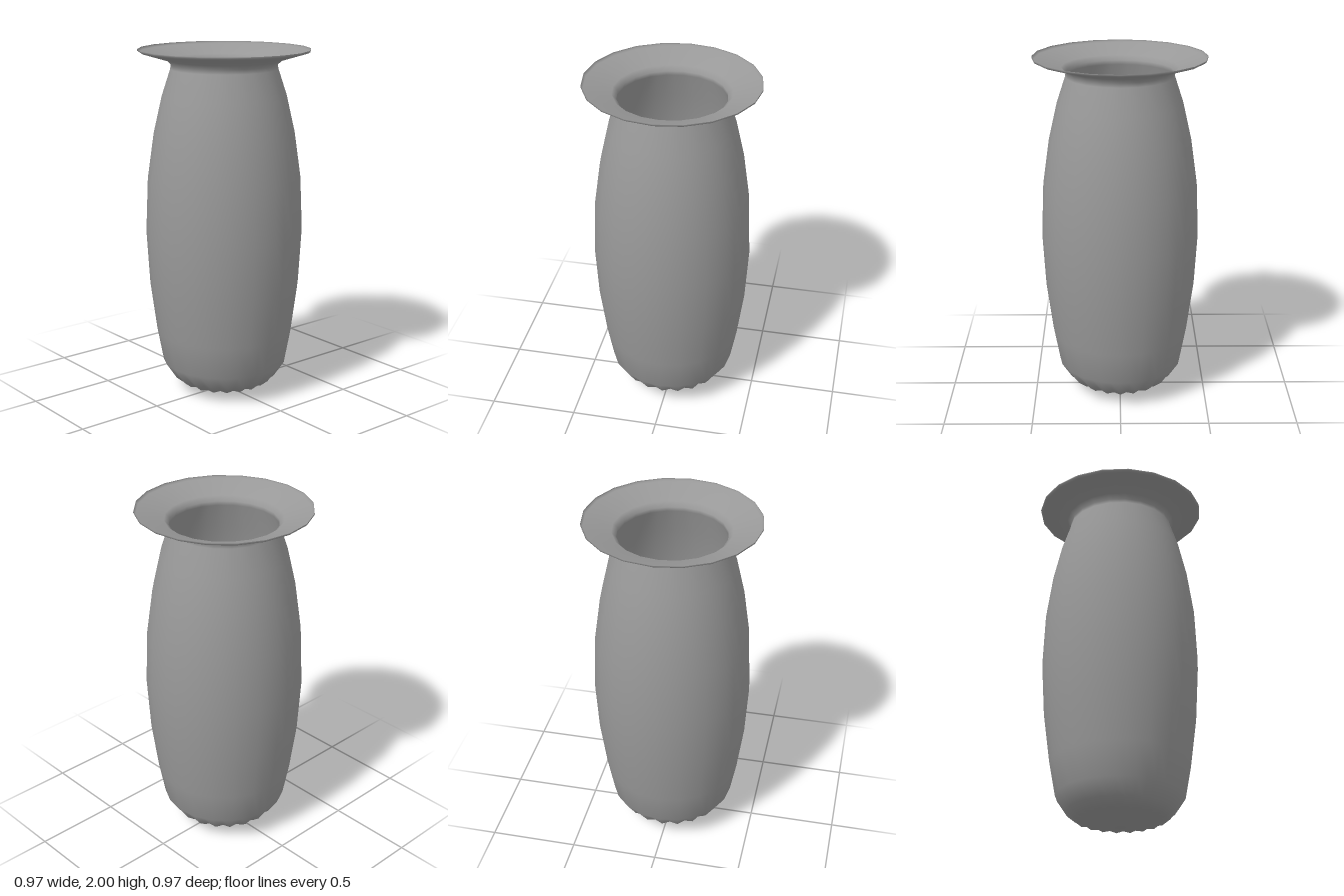
import * as THREE from 'three';
import { mergeVertices } from 'three/addons/utils/BufferGeometryUtils.js';

const SIDES = 20;

export function createModel() {
  const model = new THREE.Group();
  model.name = 'vase';
  const grey = new THREE.MeshStandardMaterial({ color: 0x999999, side: THREE.DoubleSide });
  grey.name = 'plain grey';

  // thin wall profile: pointed base, bulging body, narrow neck, wide flared rim
  const profile = [
    [0, 0], [0.25, 0.05], [0.30, 0.09], [0.36, 0.18], [0.395, 0.37], [0.432, 0.65],
    [0.45, 0.96], [0.437, 1.27], [0.40, 1.53], [0.352, 1.74], [0.303, 1.89],
    [0.300, 1.915], [0.325, 1.94], [0.475, 1.985], [0.486, 1.992], [0.486, 2],
  ].map(([r, y]) => new THREE.Vector2(r, y));

  const lathe = new THREE.LatheGeometry(profile, SIDES * 2);
  const pos = lathe.attributes.position;
  const rows = profile.length;
  const chord = Math.cos(Math.PI / SIDES);
  for (let i = 0; i < pos.count; i++) {
    const column = Math.floor(i / rows), row = i % rows;
    if (column % 2 === 0) continue;
    // odd columns lie on the flat sides, and sink into shallow pleats at the base
    const pleat = row === 1 || row === 2 ? 0.965 : 1;
    const lift = row === 1 || row === 2 ? 0.008 : 0;
    const s = chord * pleat;
    pos.setXYZ(i, pos.getX(i) * s, pos.getY(i) + lift, pos.getZ(i) * s);
  }

  // weld the seam and the base point so shading runs smoothly around
  lathe.deleteAttribute('uv');
  lathe.deleteAttribute('normal');
  const geometry = mergeVertices(lathe, 1e-4);
  geometry.computeVertexNormals();

  const body = new THREE.Mesh(geometry, grey);
  body.name = 'vaseBody';
  model.add(body);
  return model;
}
